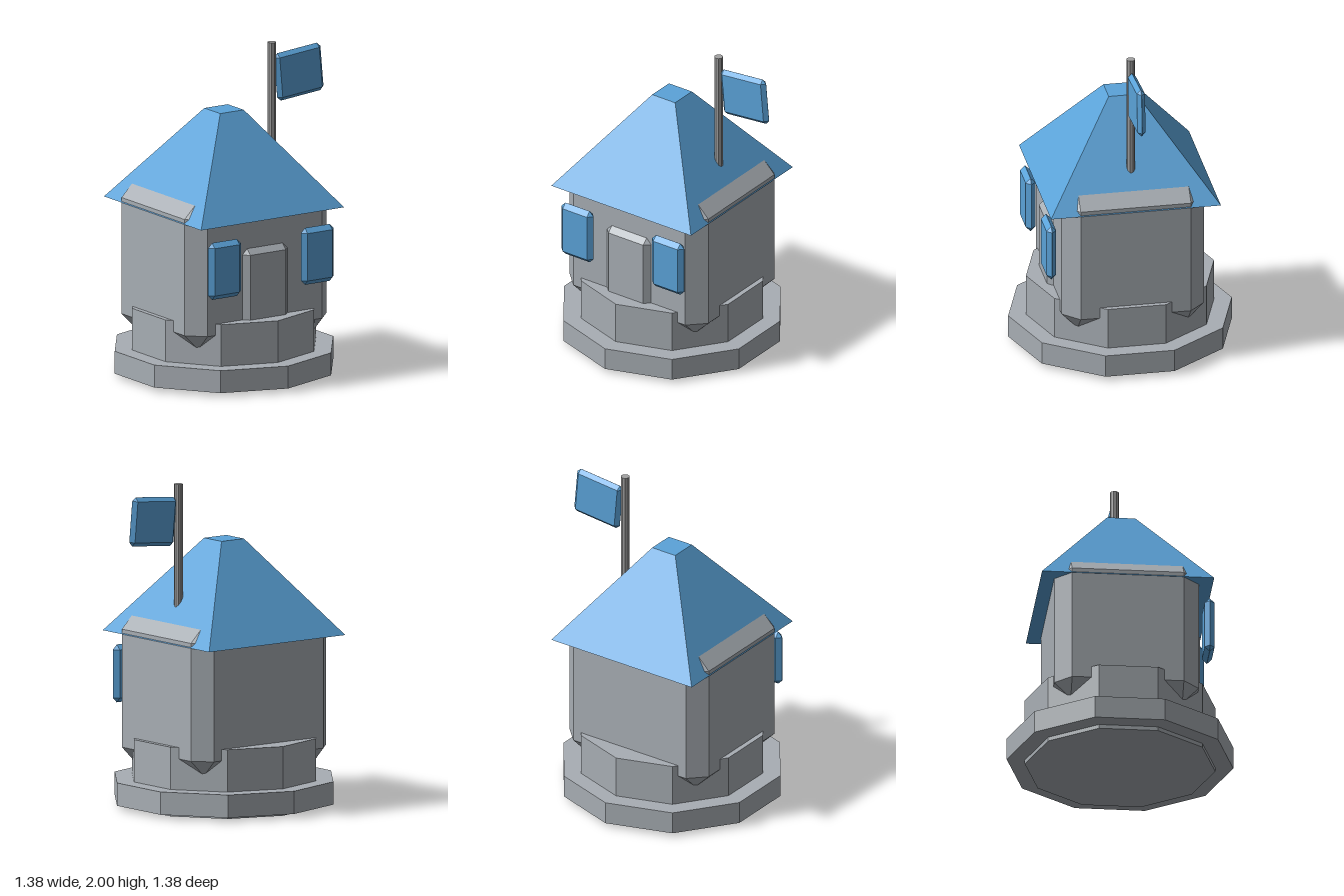
import * as THREE from 'three';
import { ConvexGeometry } from 'three/addons/geometries/ConvexGeometry.js';

const material = (name, color) => {
  const m = new THREE.MeshStandardMaterial({ color, flatShading: true });
  m.name = name;
  return m;
};

// Box with every edge and corner chamfered by b
function chamferBox(w, h, d, b) {
  const half = [w / 2, h / 2, d / 2];
  const points = [];
  for (const sx of [-1, 1]) for (const sy of [-1, 1]) for (const sz of [-1, 1]) {
    for (let axis = 0; axis < 3; axis++) {
      const p = half.map((v, i) => (i === axis ? v : v - b));
      points.push(new THREE.Vector3(p[0] * sx, p[1] * sy, p[2] * sz));
    }
  }
  return new ConvexGeometry(points);
}

export function createModel() {
  const stone = material('stone grey', 0xa8aeb4);
  const metal = material('pole grey', 0xa3a3a3);
  const blue = material('blue', 0x5ba3d9);
  const model = new THREE.Group();
  model.name = 'tower';
  const cx = -0.04; // axis of the tower

  const add = (name, geometry, mat, x, y, z) => {
    const mesh = new THREE.Mesh(geometry, mat);
    mesh.name = name;
    mesh.position.set(x, y, z);
    model.add(mesh);
    return mesh;
  };

  // Stepped ten-sided base
  add('baseRing', new THREE.CylinderGeometry(0.69, 0.69, 0.14, 10), stone, cx, 0.095, 0);
  add('plinth', new THREE.CylinderGeometry(0.58, 0.58, 0.425, 10), stone, cx, 0.2125, 0);

  // Chamfered tower body, its upper side edges poking through the roof
  add('body', chamferBox(1.04, 0.925, 0.88, 0.1), stone, cx, 0.7175, 0);

  // Door and two floating shutters
  add('door', chamferBox(0.33, 0.565, 0.08, 0.035), stone, cx, 0.5825, 0.435);
  for (const [name, side] of [['rightShutter', -1], ['leftShutter', 1]]) {
    add(name, chamferBox(0.24, 0.355, 0.06, 0.0295), blue, cx + side * 0.34, 0.7775, 0.505);
  }

  // Four-sided roof with a small flat top
  const roof = new THREE.CylinderGeometry(0.086 * Math.SQRT2, 0.524 * Math.SQRT2, 0.58, 4);
  roof.rotateY(Math.PI / 4);
  add('roof', roof, blue, cx, 1.34, 0);

  // Flagpole and tilted flag
  add('flagpole', new THREE.CylinderGeometry(0.027, 0.027, 0.85, 10), metal, 0.31, 1.575, 0);
  const flag = add('flag', chamferBox(0.34, 0.3, 0.05, 0.0245), blue, 0.508, 1.787, 0);
  flag.rotation.z = 0.09;

  return model;
}
